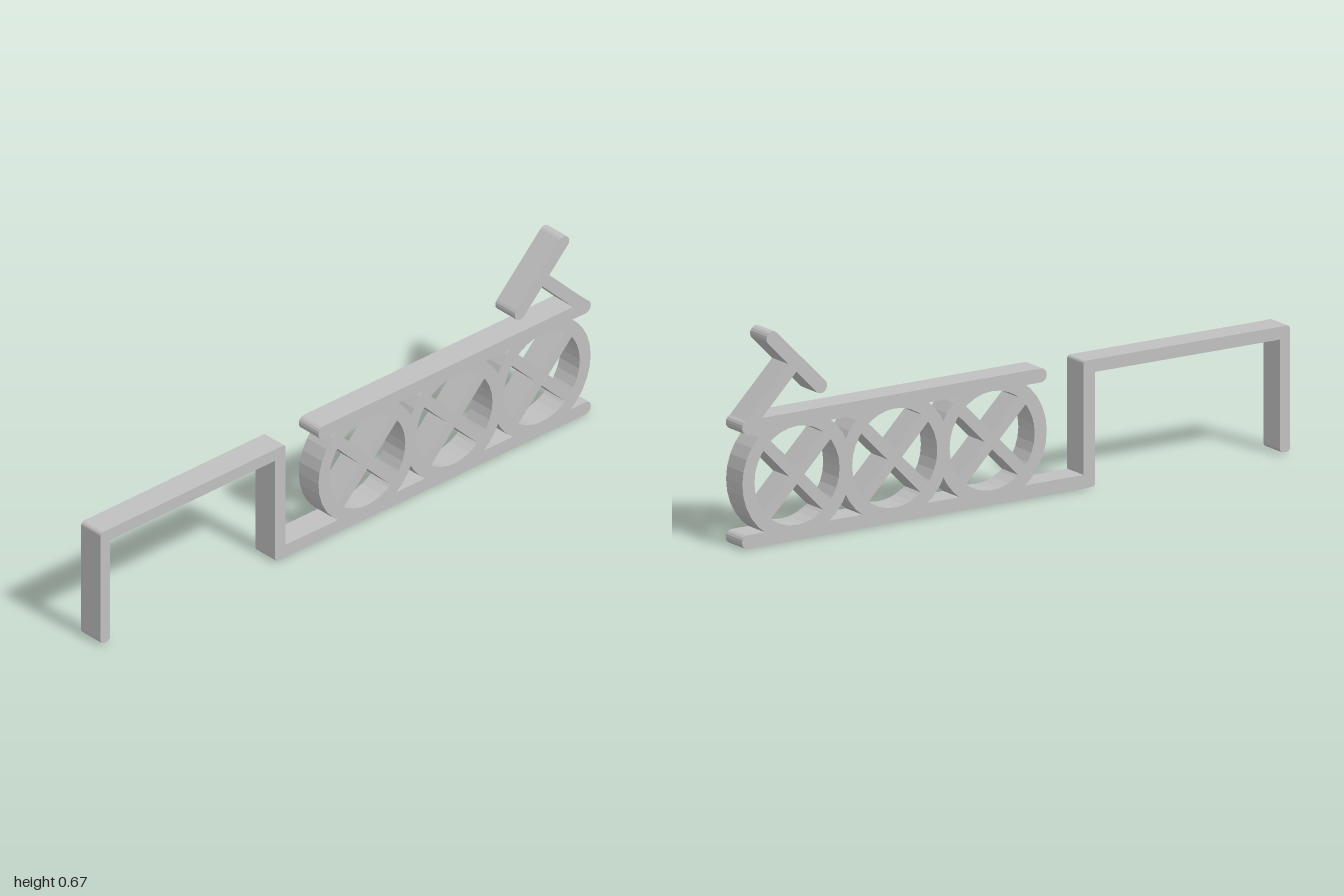
import * as THREE from 'three';

const DEPTH = 0.088;

export function createModel() {
  const group = new THREE.Group();
  const grey = new THREE.MeshStandardMaterial({ color: 0xc0c0c0, flatShading: true });
  grey.name = 'light grey';

  // Extrudes a flat outline to the common thickness, centred on z = 0
  function plate(name, shape, segments) {
    const geo = new THREE.ExtrudeGeometry(shape, { depth: DEPTH, bevelEnabled: false, curveSegments: segments });
    geo.translate(0, 0, -DEPTH / 2);
    const mesh = new THREE.Mesh(geo, grey);
    mesh.name = name;
    group.add(mesh);
    return mesh;
  }

  // Bar between two end points (outer extents), with corners of radius r
  function bar(name, [ax, ay], [bx, by], width, r = width / 2 - 0.0005) {
    const l = Math.hypot(bx - ax, by - ay) / 2, h = width / 2;
    const s = new THREE.Shape();
    s.moveTo(-l + r, -h);
    s.lineTo(l - r, -h);
    s.absarc(l - r, -h + r, r, -Math.PI / 2, 0, false);
    s.absarc(l - r, h - r, r, 0, Math.PI / 2, false);
    s.absarc(-l + r, h - r, r, Math.PI / 2, Math.PI, false);
    s.absarc(-l + r, -h + r, r, Math.PI, Math.PI * 1.5, false);
    const mesh = plate(name, s, 2);
    mesh.position.set((ax + bx) / 2, (ay + by) / 2, 0);
    mesh.rotation.z = Math.atan2(by - ay, bx - ax);
  }

  // Stepped hook arm on the left
  bar('endLeg', [-0.981, 0.004], [-0.981, 0.4], 0.038, 0.014);
  bar('hookTop', [-1, 0.379], [-0.247, 0.381], 0.04, 0.012);
  bar('hookPost', [-0.268, 0.003], [-0.268, 0.401], 0.042, 0.01);

  // Rails above and below the rings
  bar('bottomRail', [-0.285, 0.0235], [0.997, 0.0215], 0.043);
  bar('topRail', [-0.113, 0.38], [0.997, 0.38], 0.044);

  // Three overlapping rings with crossed spokes
  const cy = 0.203, reach = 0.125;
  for (const cx of [0.086, 0.441, 0.797]) {
    const ring = new THREE.Shape();
    ring.absarc(cx, cy, 0.199, 0, Math.PI * 2, false);
    const hole = new THREE.Path();
    hole.absarc(cx, cy, 0.155, 0, Math.PI * 2, true);
    ring.holes.push(hole);
    plate('ring', ring, 16);
    for (const s of [1, -1])
      bar('spoke', [cx - reach, cy - reach * s], [cx + reach, cy + reach * s], 0.038, 0.004);
  }

  // Slanted T handle on the top rail
  bar('handleStem', [0.8, 0.555], [0.982, 0.373], 0.04, 0.006);
  bar('handleGrip', [0.694, 0.453], [0.902, 0.661], 0.044);

  return group;
}
